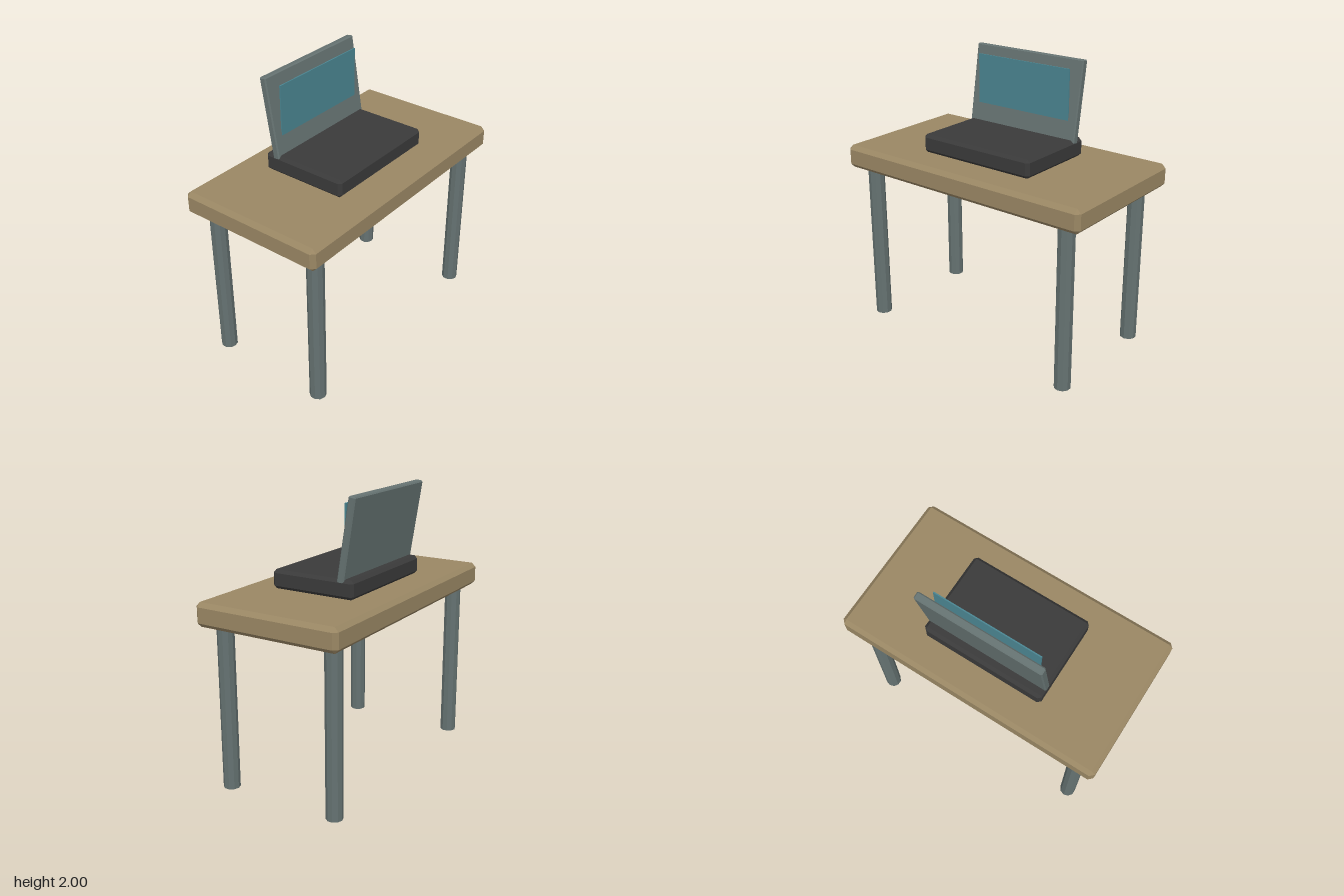
import * as THREE from 'three';
import { ConvexGeometry } from 'three/addons/geometries/ConvexGeometry.js';

// Box with every edge cut flat by c
function chamferBox(w, h, d, c) {
  const points = [];
  const [x, y, z] = [w / 2, h / 2, d / 2];
  for (const sx of [-1, 1]) for (const sy of [-1, 1]) for (const sz of [-1, 1]) {
    points.push(
      new THREE.Vector3(sx * x, sy * (y - c), sz * (z - c)),
      new THREE.Vector3(sx * (x - c), sy * y, sz * (z - c)),
      new THREE.Vector3(sx * (x - c), sy * (y - c), sz * z));
  }
  return new ConvexGeometry(points);
}

// Ten-sided cylinder with flat faces
function facetedCylinder(radius, height) {
  const geometry = new THREE.CylinderGeometry(radius, radius, height, 10).toNonIndexed();
  geometry.computeVertexNormals();
  return geometry;
}

function material(name, color) {
  const m = new THREE.MeshStandardMaterial({ color });
  m.name = name;
  return m;
}

export function createModel() {
  const model = new THREE.Group();
  model.name = 'deskWithLaptop';
  const wood = material('wood', 0x9a8764);
  const metal = material('greyMetal', 0x657271);
  const dark = material('darkPlastic', 0x3a3a3a);
  const glass = material('tealScreen', 0x4a8591);

  function add(parent, name, geometry, mat, x, y, z) {
    const mesh = new THREE.Mesh(geometry, mat);
    mesh.name = name;
    mesh.position.set(x, y, z);
    parent.add(mesh);
    return mesh;
  }

  // Desk
  const desk = new THREE.Group();
  desk.name = 'desk';
  model.add(desk);
  add(desk, 'tabletop', chamferBox(1.985, 0.165, 1.075, 0.029), wood, 0, 1.248, 0);
  const legGeometry = facetedCylinder(0.058, 1.18);
  for (const [side, sx] of [['Left', 1], ['Right', -1]]) {
    for (const [end, sz] of [['front', 1], ['back', -1]]) {
      add(desk, end + side + 'Leg', legGeometry, metal, sx * 0.833, 0.59, sz * 0.418);
    }
  }

  // Laptop: base, lid leaning back, upright screen panel
  const laptop = new THREE.Group();
  laptop.name = 'laptop';
  model.add(laptop);
  add(laptop, 'laptopBase', chamferBox(0.908, 0.132, 0.63, 0.022), dark, 0, 1.398, 0);
  const lid = add(laptop, 'laptopLid', chamferBox(0.908, 0.572, 0.052, 0.008), metal, 0, 1.717, -0.265);
  lid.rotation.x = -0.16;
  add(laptop, 'screen', new THREE.BoxGeometry(0.776, 0.355, 0.009), glass, 0, 1.767, -0.222);

  return model;
}
